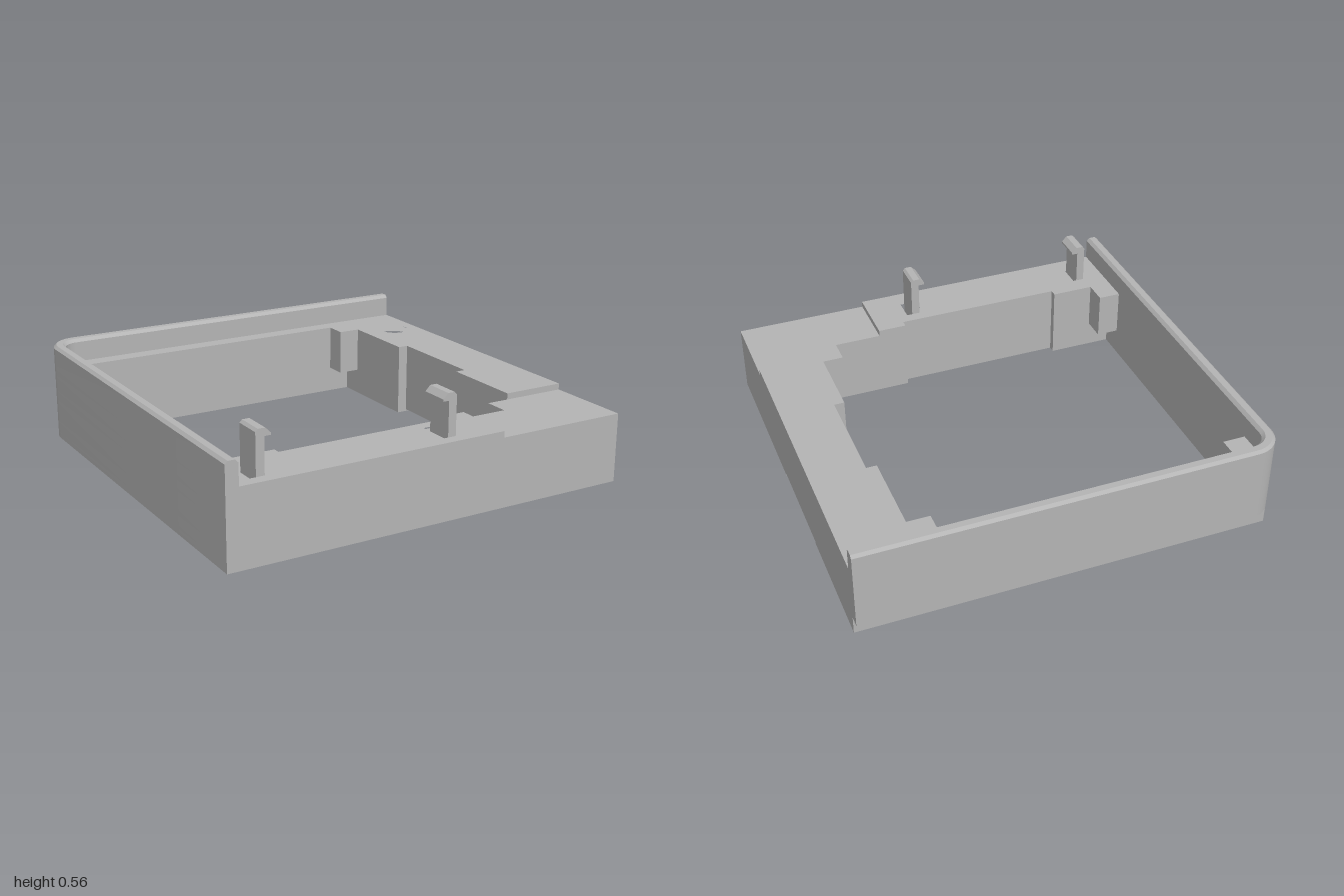
import * as THREE from 'three';
import { toCreasedNormals, mergeVertices } from 'three/addons/utils/BufferGeometryUtils.js';

const plastic = new THREE.MeshStandardMaterial({ color: 0xb4b4b4 });
plastic.name = 'grey plastic';

const R = 0.14, TOP = 0.36, STEP = 0.09, SHELF = 0.33;

// Left and back outer edge in (x, z), with the rounded back corner; inset d moves it inward
function outerEdge(d = 0, backLimit = -1) {
  const pts = [[-1 + d, 1]];
  const n = 14, r = R - d;
  for (let i = 0; i <= n; i++) {
    const a = (i / n) * Math.PI / 2;
    pts.push([-1 + R - r * Math.cos(a), Math.max(backLimit, -1 + R - r * Math.sin(a))]);
  }
  pts.push([1, Math.max(backLimit, -1 + d)]);
  return pts;
}

// Opening, from the front right round the back to the front
const opening = [
  [0.69, 0.58], [0.69, 0.17], [0.74, 0.17], [0.74, -0.34], [0.69, -0.34], [0.69, -0.86],
  [-0.94, -0.86], [-0.94, 0.70], [-0.62, 0.70], [-0.62, 0.735], [0.21, 0.735], [0.21, 0.70], [0.35, 0.70],
];
const fullOpening = [...opening, [0.69, 0.70]];

const toV = pts => pts.map(([x, z]) => new THREE.Vector2(x, -z));
const circle = (x, z, r) => Array.from({ length: 32 }, (_, i) => {
  const a = (i / 32) * Math.PI * 2;
  return [x + r * Math.cos(a), z + r * Math.sin(a)];
});
const rect = (x0, x1, z0, z1) => [[x0, z0], [x1, z0], [x1, z1], [x0, z1]];

function createMesh(name, geometry) {
  const m = new THREE.Mesh(geometry, plastic);
  m.name = name;
  return m;
}

// Horizontal layer of the frame between two heights
function slab(name, outline, holes, y0, y1) {
  const shape = new THREE.Shape(toV(outline));
  holes.forEach(h => shape.holes.push(new THREE.Path(toV(h))));
  const g = new THREE.ExtrudeGeometry(shape, { depth: y1 - y0, bevelEnabled: false });
  g.rotateX(-Math.PI / 2);
  g.translate(0, y0, 0);
  return createMesh(name, toCreasedNormals(g, 0.5));
}

// Raised lip: a chamfered section swept along the left and back edge
function lipGeometry() {
  const section = [[0, TOP], [0, 0.462], [0.013, 0.475], [0.045, 0.475], [0.06, 0.46], [0.06, TOP]];
  const rails = section.map(([d, y]) => outerEdge(d).map(([x, z]) => [x, y, z]));
  const pos = [], idx = [], n = rails[0].length, m = section.length;
  rails.forEach(rail => rail.forEach(p => pos.push(...p)));
  for (let j = 0; j < m; j++) {
    for (let i = 0; i < n - 1; i++) {
      const a = j * n + i, b = a + 1, c = ((j + 1) % m) * n + i, d = c + 1;
      idx.push(a, c, b, b, c, d);
    }
  }
  // End caps
  for (let j = 1; j < m - 1; j++) {
    idx.push(0, (j + 1) * n, j * n);
    idx.push(n - 1, j * n + n - 1, (j + 1) * n + n - 1);
  }
  // Make the winding face outward, using the signed volume
  let vol = 0;
  const v = k => new THREE.Vector3(pos[3 * k], pos[3 * k + 1], pos[3 * k + 2]);
  for (let k = 0; k < idx.length; k += 3) vol += v(idx[k]).dot(v(idx[k + 1]).cross(v(idx[k + 2])));
  if (vol < 0) idx.reverse();
  const g = new THREE.BufferGeometry();
  g.setAttribute('position', new THREE.Float32BufferAttribute(pos, 3));
  g.setIndex(idx);
  return toCreasedNormals(mergeVertices(g), 0.5);
}

// Snap clip: stem at x, hook pointing along dir
function clip(name, x, dir) {
  const prof = [[0, 0.25], [0.04, 0.25], [0.04, 0.52], [0.07, 0.52], [0.07, 0.53], [0.045, 0.555], [0.012, 0.555], [0, 0.543]];
  const shape = new THREE.Shape(prof.map(([px, py]) => new THREE.Vector2(x + dir * px, py)));
  const g = new THREE.ExtrudeGeometry(shape, { depth: 0.135, bevelEnabled: false });
  g.translate(0, 0, 0.797);
  return createMesh(name, g);
}

function box(name, x0, x1, y0, y1, z0, z1) {
  const g = new THREE.BoxGeometry(x1 - x0, y1 - y0, z1 - z0);
  g.translate((x0 + x1) / 2, (y0 + y1) / 2, (z0 + z1) / 2);
  return createMesh(name, g);
}

export function createModel() {
  const model = new THREE.Group();
  model.name = 'frame';

  const bores = r => [[0.86, -0.73], [0.86, 0.84], [-0.74, 0.84]].map(([x, z]) => circle(x, z, r));
  const pockets = [rect(-0.865, -0.77, 0.79, 0.945), rect(0.07, 0.17, 0.79, 0.945)];
  const topHole = circle(0.865, -0.657, 0.077);
  const narrow = [...outerEdge(0, -0.945), [1, 1]];
  const wide = [...outerEdge(), [1, 1]];

  // Underside, with a shallow slot across the right bar
  const slotted = [
    [1, 0.18], [1, 1], ...outerEdge(0, -0.945), [1, -0.34],
    ...opening.slice(4), [0.69, 0.70], [0.69, 0.18],
  ];
  model.add(slab('undersideLayer', slotted, bores(0.1), 0, 0.01));
  model.add(slab('counterboreLayer', narrow, [fullOpening, ...bores(0.1)], 0.01, 0.03));
  model.add(slab('lowerFrame', narrow, [fullOpening, ...bores(0.075)], 0.03, STEP));

  // Main frame walls
  model.add(slab('boredFrame', wide, [fullOpening, ...bores(0.075)], STEP, 0.2));
  model.add(slab('middleFrame', wide, [fullOpening], 0.2, 0.25));
  model.add(slab('upperFrame', wide, [fullOpening, topHole, ...pockets], 0.25, SHELF));

  // Top layer, leaving the front corner shelf lower
  const topOutline = [[0.35, 1], ...outerEdge(), [1, 0.58], ...opening];
  model.add(slab('topLayer', topOutline, [topHole, ...pockets], SHELF, TOP));

  // Corner blocks inside the opening
  for (const [x0, x1] of [[-0.94, -0.83], [0.58, 0.69]]) {
    for (const [z0, z1] of [[-0.86, -0.75], [0.58, 0.70]]) {
      const top = x0 > 0 && z0 > 0 ? SHELF : TOP;
      model.add(box('cornerBlock', x0, x1, 0.13, top, z0, z1));
    }
  }

  model.add(createMesh('lip', lipGeometry()));
  model.add(clip('outerClip', -0.83, 1));
  model.add(clip('innerClip', 0.14, -1));
  return model;
}
